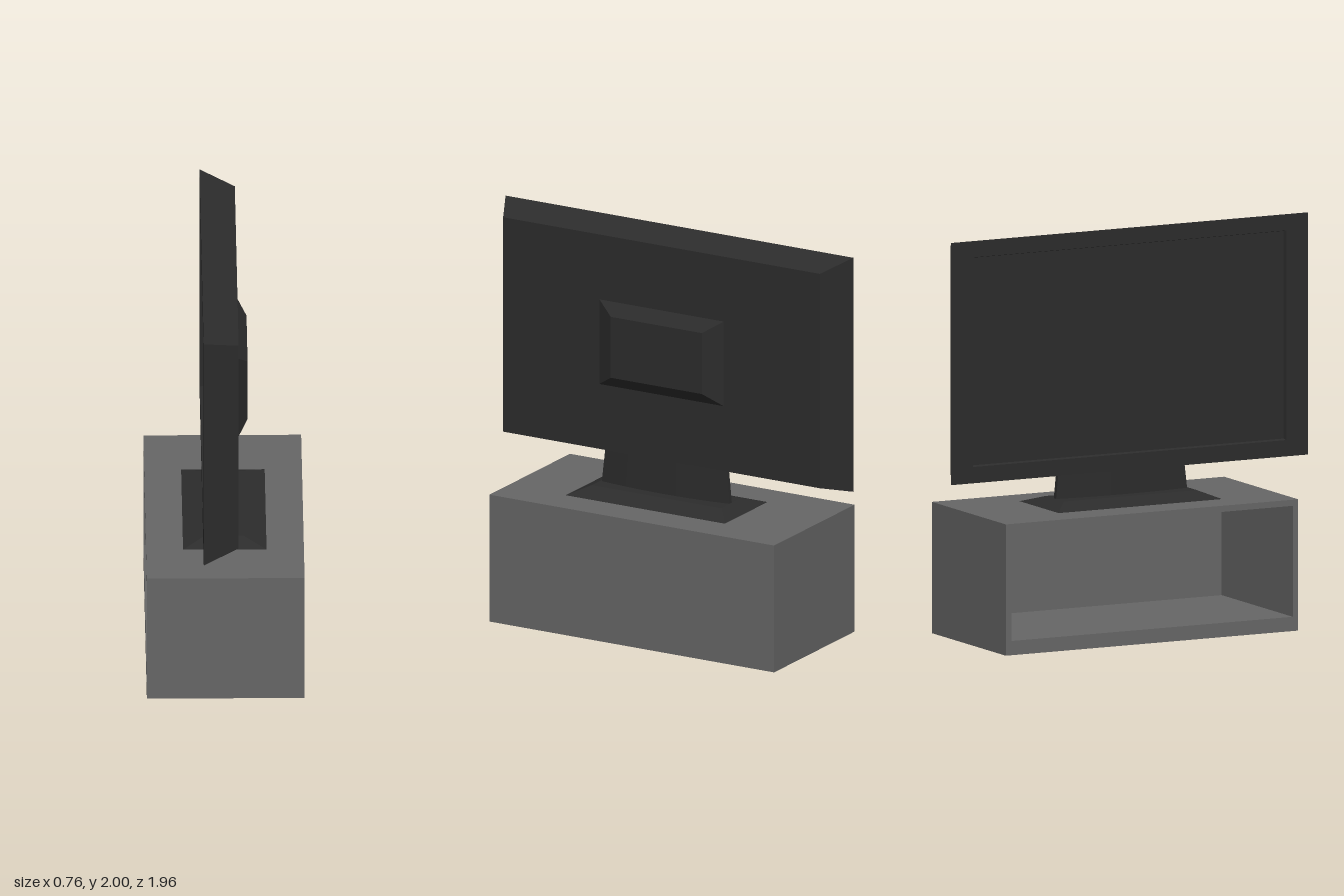
import * as THREE from 'three';

const cabinetMat = new THREE.MeshStandardMaterial({ color: 0x666666 });
const blackMat = new THREE.MeshStandardMaterial({ color: 0x2c2c2c });

// Joins closed cross-sections into a capped, hard-edged solid.
// Points run counter-clockwise as seen from the last section.
function loft(sections) {
  const pos = [];
  const tri = (a, b, c) => pos.push(...a, ...b, ...c);
  const n = sections[0].length;
  for (let i = 0; i < sections.length - 1; i++) {
    for (let j = 0; j < n; j++) {
      const k = (j + 1) % n;
      const [s, t] = [sections[i], sections[i + 1]];
      tri(s[j], s[k], t[k]);
      tri(s[j], t[k], t[j]);
    }
  }
  const first = sections[0], last = sections[sections.length - 1];
  for (let j = 1; j < n - 1; j++) {
    tri(first[0], first[j + 1], first[j]);
    tri(last[0], last[j], last[j + 1]);
  }
  const geo = new THREE.BufferGeometry();
  geo.setAttribute('position', new THREE.Float32BufferAttribute(pos, 3));
  geo.computeVertexNormals();
  return geo;
}

// Upright rectangle at a given x
const rectX = (x, y0, y1, halfZ, cz = 0) =>
  [[x, y0, cz - halfZ], [x, y1, cz - halfZ], [x, y1, cz + halfZ], [x, y0, cz + halfZ]];

// Level rectangle at a given y
const rectY = (y, x0, x1, z0, z1) =>
  [[x0, y, z0], [x0, y, z1], [x1, y, z1], [x1, y, z0]];

// Level lens outline with blunt ends at a given y
function lensY(y, halfZ, cz) {
  const steps = 10, pts = [];
  for (const side of [-1, 1]) {
    for (let i = 0; i <= steps; i++) {
      const t = -1 + (2 * i) / steps;
      pts.push([-0.002 + side * (0.012 + 0.026 * (1 - t * t)), y, cz - side * t * halfZ]);
    }
  }
  // each side runs the opposite way, closing a loop around +y
  const half = steps + 1;
  return [...pts.slice(0, half).reverse(), ...pts.slice(half).reverse()].reverse();
}

export function createModel() {
  const model = new THREE.Group();
  const add = (parent, name, geo, mat) => {
    const mesh = new THREE.Mesh(geo, mat);
    mesh.name = name;
    parent.add(mesh);
    return mesh;
  };

  // Cabinet: hollow frame open towards -x, closed by a back panel
  const cabinet = new THREE.Group();
  cabinet.name = 'cabinet';
  model.add(cabinet);
  const depth = 1.605, height = 0.645, cz = -0.0225, back = 0.03;
  const rect = (Type, x0, x1, y0, y1) => new Type([
    new THREE.Vector2(x0, y0), new THREE.Vector2(x1, y0),
    new THREE.Vector2(x1, y1), new THREE.Vector2(x0, y1),
  ]);
  const outline = rect(THREE.Shape, -depth / 2, depth / 2, 0, height);
  outline.holes.push(rect(THREE.Path, -depth / 2 + 0.03, depth / 2 - 0.03, 0.07, height - 0.03));
  const frameGeo = new THREE.ExtrudeGeometry(outline, { depth: 0.765 - back, bevelEnabled: false });
  frameGeo.rotateY(Math.PI / 2);
  frameGeo.translate(-0.384, 0, cz);
  add(cabinet, 'cabinetFrame', frameGeo, cabinetMat);
  add(cabinet, 'cabinetBack', new THREE.BoxGeometry(back, height, depth), cabinetMat)
    .position.set(0.381 - back / 2, height / 2, cz);

  // Television
  const tv = new THREE.Group();
  tv.name = 'television';
  model.add(tv);

  // Housing tapering backwards, with the screen recessed inside the bezel
  add(tv, 'screenHousing', loft([
    rectX(-0.09, 0.895, 1.915, 0.855),
    rectX(-0.11, 0.89, 1.92, 0.86),
    rectX(-0.11, 0.81, 2.0, 0.98),
    rectX(0.06, 0.86, 1.95, 0.893),
  ]), blackMat);

  // Raised panel on the rear
  add(tv, 'rearPanel', loft([
    rectX(0.055, 1.19, 1.62, 0.35),
    rectX(0.06, 1.19, 1.62, 0.35),
    rectX(0.11, 1.25, 1.56, 0.257),
  ]), blackMat);

  // Stand: sloped foot and bowed neck
  add(tv, 'standFoot', loft([
    rectY(0.645, -0.205, 0.2, -0.44, 0.457),
    rectY(0.68, -0.1, 0.09, -0.355, 0.375),
  ]), blackMat);
  add(tv, 'standNeck', loft([
    lensY(0.675, 0.36, 0.007),
    lensY(0.88, 0.338, 0.005),
  ]), blackMat);

  return model;
}
